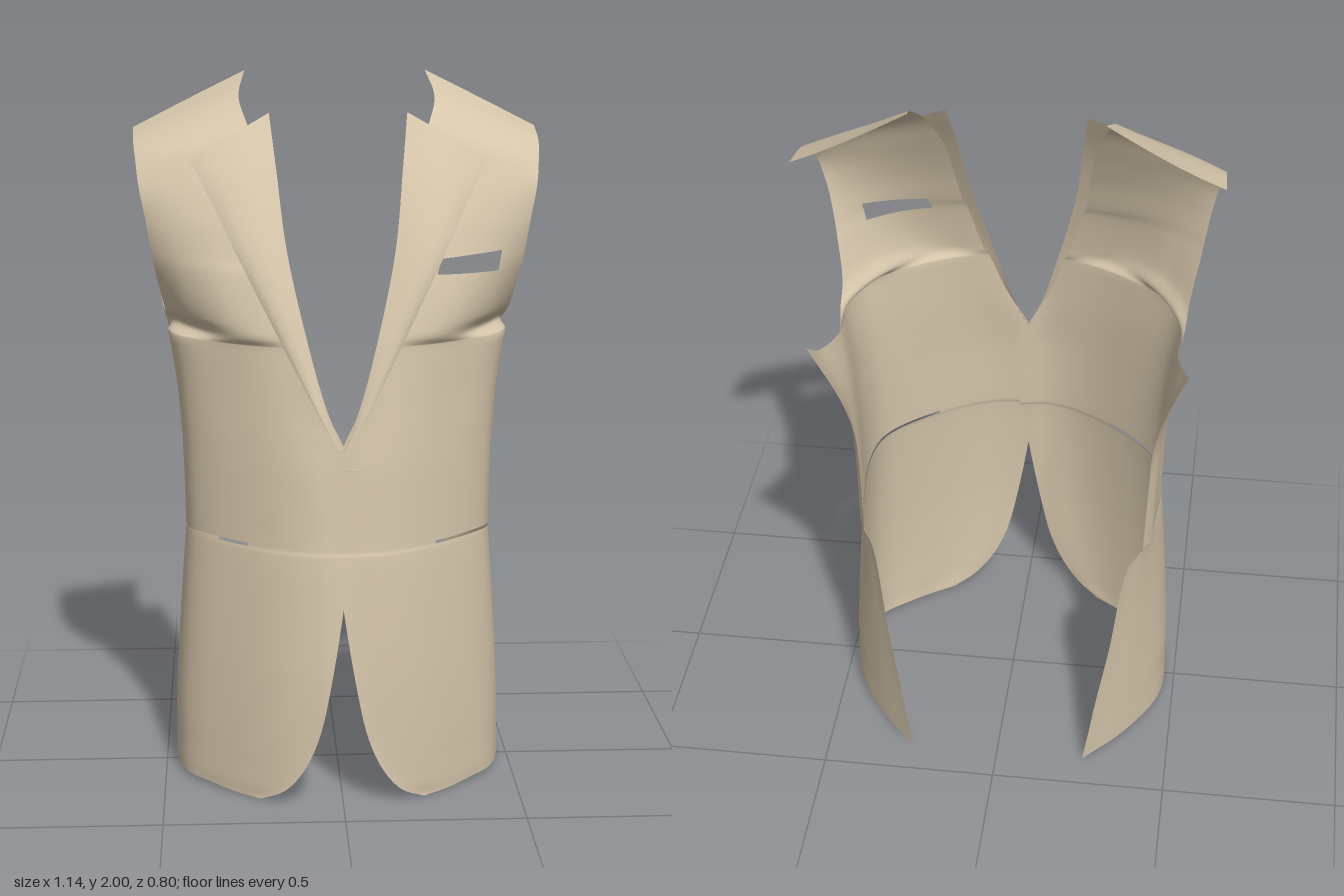
import * as THREE from 'three';
import { mergeGeometries, mergeVertices } from 'three/addons/utils/BufferGeometryUtils.js';

const K = 6; // subdivisions between neighbouring control points
const { lerp, clamp } = THREE.MathUtils;

// Skirt stations: height, half width, front depth, front edge x, back edge x and z
const skirt = [
  [0.005, 0.468, 0.395, 0.23, 0.255, -0.4],
  [0.04, 0.468, 0.398, 0.165, 0.26, -0.397],
  [0.1, 0.467, 0.4, 0.115, 0.27, -0.39],
  [0.2, 0.466, 0.402, 0.07, 0.285, -0.38],
  [0.4, 0.456, 0.402, 0.027, 0.32, -0.355],
  [0.72, 0.434, 0.386, -0.022, 0.365, -0.312],
  [0.732, 0.433, 0.383, -0.025, 0.4, -0.25],
  [0.74, 0.433, 0.382, -0.025, 0.4, -0.25],
  [0.95, 0.438, 0.37, -0.03, 0.41, -0.233],
  [1.03, 0.443, 0.362, 0, 0.415, -0.245],
  [1.15, 0.454, 0.348, 0.06, 0.44, -0.285],
  [1.29, 0.475, 0.332, 0.11, 0.51, -0.355],
];

// Chest stations: neck side x, y, z; armhole x, y, z; forward bulge
const chest = [
  [0.12, 1.31, 0.308, 0.478, 1.315, -0.05, 0.125],
  [0.13, 1.34, 0.302, 0.485, 1.36, 0.03, 0.09],
  [0.165, 1.48, 0.265, 0.508, 1.475, 0.092, 0.048],
  [0.175, 1.512, 0.25, 0.518, 1.537, 0.106, 0.03],
  [0.19, 1.62, 0.207, 0.53, 1.61, 0.11, 0.02],
  [0.21, 1.76, 0.137, 0.548, 1.7, 0.095, 0.012],
  [0.25, 1.87, 0.067, 0.558, 1.77, 0.045, 0.018],
  [0.272, 1.935, -0.02, 0.565, 1.81, -0.02, 0],
  [0.255, 2, -0.15, 0.57, 1.841, -0.16, -0.015],
];

// Lapel stations: fold line x, y, z; outer edge x, y, z; forward bulge
const lapel = [
  [0, 1.02, 0.36, 0.014, 1.02, 0.374, 0.003],
  [0.045, 1.13, 0.348, 0.075, 1.13, 0.358, 0.005],
  [0.1, 1.33, 0.31, 0.183, 1.34, 0.304, 0.011],
  [0.148, 1.55, 0.24, 0.28, 1.53, 0.243, 0.015],
  [0.172, 1.75, 0.15, 0.345, 1.66, 0.178, 0.017],
  [0.19, 1.9, 0.063, 0.41, 1.78, 0.114, 0.012],
];

// Skirt row: parabolic front, rounded side, then in to the back edge
function skirtRow([y, w, d, frontX, backX, backZ]) {
  const front = [0, 1 / 3, 2 / 3, 1].map((f) => {
    const x = lerp(frontX, 0.93 * w, f);
    return [x, d * (1 - 0.73 * (x / w) ** 2)];
  });
  const side = [[w, 0.03], [0.98 * w, -0.12]];
  const back = [[lerp(0.98 * w, backX, 0.5) + 0.01, lerp(-0.12, backZ, 0.55)], [backX, backZ]];
  return [...front, ...side, ...back].map(([x, z]) => {
    const pocketSag = 0.036 * THREE.MathUtils.smoothstep(-z, -0.15, 0.12) * Math.exp(-(((y - 0.72) / 0.15) ** 2));
    const underarmLift = 0.1 * clamp((-z - 0.15) / 0.205, 0, 1) ** 2 * clamp((y - 1) / 0.29, 0, 1);
    const hemLift = 0.02 * Math.max(0, 1 - (z / 0.3) ** 2) * Math.max(0, 1 - y / 0.1);
    return new THREE.Vector3(x, y - pocketSag + underarmLift + hemLift, z);
  });
}

// Row between two edges, bowed forward
function bowedRow([x0, y0, z0, x1, y1, z1, bulge]) {
  return [0, 0.28, 0.53, 0.79, 0.92, 1].map((f) => new THREE.Vector3(
    lerp(x0, x1, f), lerp(y0, y1, f), lerp(z0, z1, f) + bulge * 2.6 * f * (1 - f) * (1 + f)));
}

function sample(points) {
  const curve = new THREE.CatmullRomCurve3(points, false, 'centripetal');
  const n = (points.length - 1) * K;
  return Array.from({ length: n + 1 }, (_, i) => curve.getPoint(i / n));
}

// Smooth sheet through the rows; slot = [row, first column, last column] leaves an opening.
function sheet(rows, mirrored, slot) {
  const across = rows.map(sample);
  const cols = across[0].map((_, c) => sample(across.map((r) => r[c])));
  const nu = cols.length, nv = cols[0].length;
  const pos = [], index = [];
  for (const p of cols.flat()) {
    // the right front tucks under the left one at the closure
    const tuck = mirrored ? 0.25 * Math.max(0, 0.05 - p.x) : 0;
    pos.push(mirrored ? -p.x : p.x, p.y, p.z - tuck);
  }
  for (let u = 0; u < nu - 1; u++) {
    for (let v = 0; v < nv - 1; v++) {
      if (slot && Math.floor(v / K) === slot[0] && u >= slot[1] * K && u < slot[2] * K) continue;
      const a = u * nv + v, b = a + nv, c = b + 1, d = a + 1;
      if (mirrored) index.push(a, c, b, a, d, c);
      else index.push(a, b, c, a, c, d);
    }
  }
  const g = new THREE.BufferGeometry();
  g.setAttribute('position', new THREE.Float32BufferAttribute(pos, 3));
  g.setIndex(index);
  return g;
}

// Welds sheets into one smooth surface
function weld(...sheets) {
  const g = mergeVertices(mergeGeometries(sheets), 1e-4);
  g.computeVertexNormals();
  return g;
}

export function createModel() {
  const cloth = new THREE.MeshStandardMaterial({ color: 0xd6c6ab, side: THREE.DoubleSide });
  cloth.name = 'tan cloth';
  const jacket = new THREE.Group();
  jacket.name = 'jacketFront';

  const add = (name, geometry) => {
    const mesh = new THREE.Mesh(geometry, cloth);
    mesh.name = name;
    jacket.add(mesh);
    return mesh;
  };

  const skirtRows = skirt.map(skirtRow);
  // the chest starts on the front part of the underarm row
  const chestRows = [skirtRows.at(-1).slice(0, 6), ...chest.map(bowedRow)];
  const lapelRows = lapel.map(bowedRow);

  for (const mirrored of [false, true]) {
    const side = mirrored ? 'right' : 'left';
    // hip pocket slit on both panels, breast pocket opening on the left only
    add(side + 'FrontPanel', weld(
      sheet(skirtRows, mirrored, [6, 2, 5]),
      sheet(chestRows, mirrored, mirrored ? null : [3, 1, 3])));
    add(side + 'Lapel', weld(sheet(lapelRows, mirrored)));
  }

  // stitched buttonhole
  const buttonhole = add('buttonhole', new THREE.BoxGeometry(0.045, 0.006, 0.004));
  buttonhole.position.set(0.03, 0.963, 0.369);
  buttonhole.rotation.set(0, 0.08, -0.08);
  return jacket;
}
